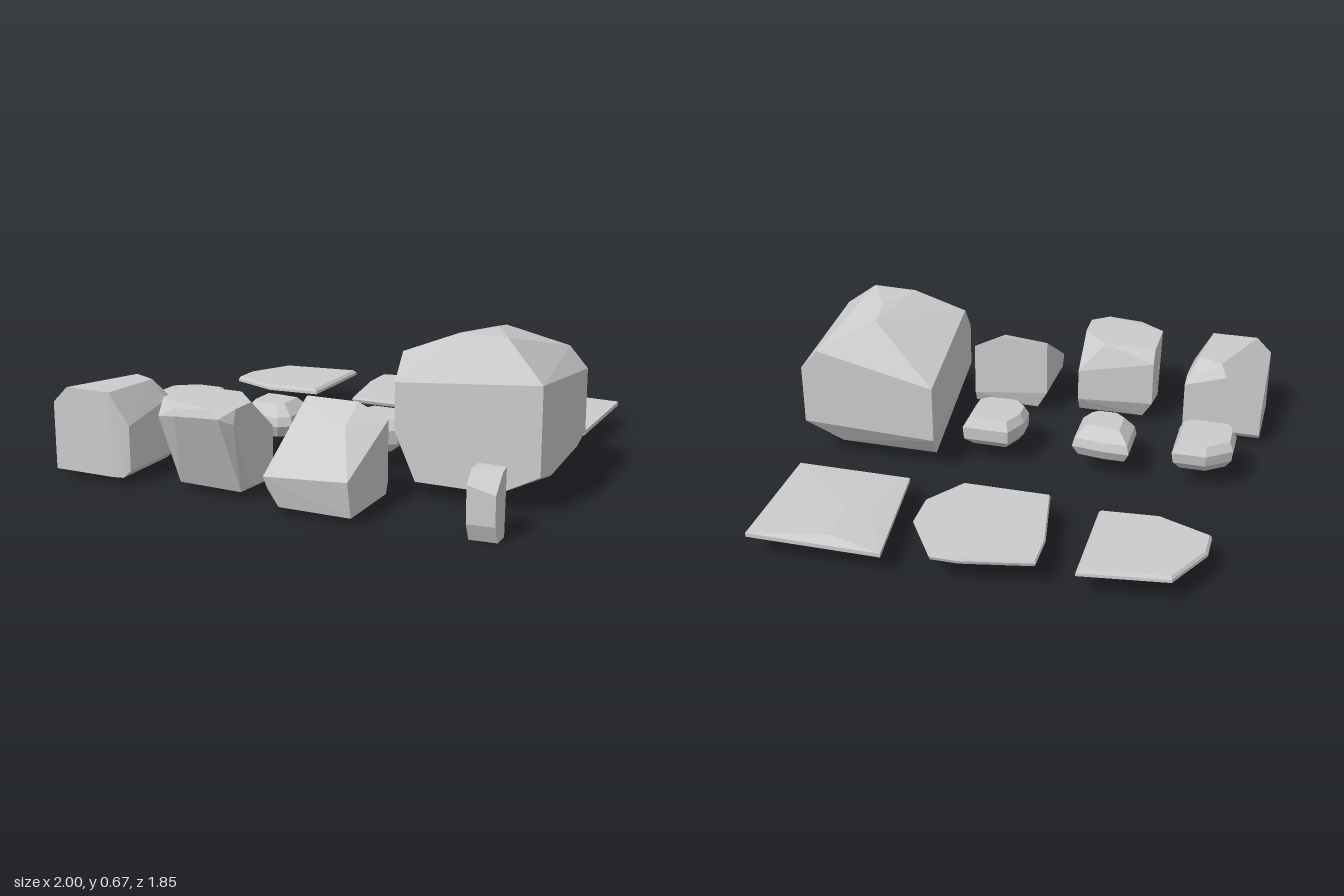
import * as THREE from 'three';
import { ConvexGeometry } from 'three/addons/geometries/ConvexGeometry.js';

const material = new THREE.MeshStandardMaterial({ color: 0xcccccc, flatShading: true });

// Faceted stone: the hull of its corner points
function stone(group, name, corners) {
  const points = corners.map(([x, y, z]) => new THREE.Vector3(x, y, z));
  const mesh = new THREE.Mesh(new ConvexGeometry(points), material);
  mesh.name = name;
  group.add(mesh);
}

// Stacks copies of a plan outline [x, z]; each layer is [height, scale about the middle]
function layers(outline, levels) {
  const cx = outline.reduce((s, p) => s + p[0], 0) / outline.length;
  const cz = outline.reduce((s, p) => s + p[1], 0) / outline.length;
  return levels.flatMap(([y, k]) =>
    outline.map(([x, z]) => [cx + (x - cx) * k, y, cz + (z - cz) * k]));
}

export function createModel() {
  const group = new THREE.Group();
  group.name = 'rockSet';

  // Large boulder
  stone(group, 'largeBoulder', [
    [0.62, 0.67, 0.37], [0.82, 0.67, 0.38], [0.71, 0.67, 0.18], [0.70, 0.65, 0.05],
    [0.39, 0.58, 0.40], [0.39, 0.47, 0.48], [1.00, 0.52, 0.48],
    [1.00, 0.46, -0.12], [0.92, 0.55, -0.12], [0.39, 0.43, -0.12],
    [0.39, 0.27, 0.48], [0.48, 0.07, 0.48], [0.83, 0.07, 0.48], [1.00, 0.16, 0.48],
    [1.00, 0.13, 0.35], [1.00, 0.155, -0.01], [1.00, 0.19, -0.12],
    [0.39, 0.17, -0.12], [0.40, 0.07, -0.05], [0.85, 0.07, -0.05],
  ]);

  // Three medium boulders along the front
  stone(group, 'mediumBoulderRight', [
    [-0.80, 0.39, 0.53], [-0.69, 0.39, 0.58], [-0.72, 0.39, 0.85], [-0.93, 0.39, 0.85],
    [-1.00, 0.32, 0.85], [-1.00, 0.17, 0.49], [-0.83, 0.34, 0.49], [-0.64, 0.28, 0.49],
    [-0.64, 0.30, 0.56], [-0.64, 0.25, 0.83],
    [-1.00, 0.03, 0.85], [-0.72, 0.03, 0.85], [-0.67, 0.03, 0.84], [-0.64, 0.06, 0.83],
    [-0.67, 0.03, 0.52], [-0.64, 0.06, 0.49], [-1.00, 0.03, 0.52], [-1.00, 0.06, 0.49],
  ]);
  stone(group, 'mediumBoulderMiddle', [
    [-0.48, 0.39, 0.60], [-0.33, 0.39, 0.60], [-0.24, 0.39, 0.60], [-0.12, 0.39, 0.73],
    [-0.12, 0.39, 0.85], [-0.20, 0.39, 0.91], [-0.36, 0.38, 0.91], [-0.48, 0.39, 0.81],
    [-0.46, 0.33, 0.88], [-0.36, 0.35, 0.92], [-0.16, 0.36, 0.92], [-0.12, 0.33, 0.87],
    [-0.48, 0.33, 0.56], [-0.12, 0.25, 0.56], [-0.48, 0.12, 0.56], [-0.12, 0.10, 0.56],
    [-0.48, 0.08, 0.74], [-0.43, 0.03, 0.78], [-0.14, 0.03, 0.79],
    [-0.12, 0.05, 0.76], [-0.12, 0.03, 0.60], [-0.43, 0.03, 0.60],
  ]);
  stone(group, 'mediumBoulderLeft', [
    [0.03, 0.39, 0.54], [0.26, 0.39, 0.54], [0.09, 0.35, 0.57], [0.28, 0.33, 0.70],
    [0.39, 0.33, 0.54], [0.39, 0.28, 0.65], [0.03, 0.28, 0.60],
    [0.03, 0.155, 0.91], [0.25, 0.17, 0.91], [0.39, 0.18, 0.91],
    [0.08, 0.03, 0.88], [0.39, 0.03, 0.88], [0.03, 0.10, 0.88],
    [0.03, 0.12, 0.54], [0.08, 0.03, 0.56], [0.39, 0.03, 0.56], [0.39, 0.08, 0.54],
  ]);

  // Three small stones in the middle row
  stone(group, 'smallStoneRight', layers(
    [[-0.92, 0.09], [-0.81, 0.01], [-0.66, 0.01], [-0.66, 0.25], [-0.70, 0.28], [-0.89, 0.28], [-0.92, 0.22]],
    [[0.10, 0.75], [0.14, 0.95], [0.19, 1], [0.23, 0.85]]));
  stone(group, 'smallStoneMiddle', layers(
    [[-0.47, 0.01], [-0.36, 0.01], [-0.21, 0.03], [-0.21, 0.23], [-0.26, 0.27], [-0.40, 0.27], [-0.47, 0.21]],
    [[0.10, 0.82], [0.15, 1], [0.19, 0.93], [0.24, 0.58]]));
  stone(group, 'smallStoneLeft', layers(
    [[0.08, 0], [0.29, 0], [0.29, 0.22], [0.24, 0.26], [0.09, 0.26], [0.03, 0.20], [0.03, 0.11]],
    [[0.09, 0.72], [0.13, 0.97], [0.19, 1], [0.23, 0.82]]));

  // Upright pebble at the front corner
  stone(group, 'pebble', [
    [0.84, 0.27, 0.73], [0.95, 0.27, 0.73], [0.84, 0.27, 0.80], [0.95, 0.26, 0.77],
    [0.84, 0.22, 0.85], [0.95, 0.19, 0.84], [0.84, 0.07, 0.85], [0.95, 0.07, 0.84],
    [0.84, 0, 0.82], [0.95, 0, 0.81], [0.84, 0, 0.74], [0.95, 0, 0.74],
  ]);

  // Three flat slabs at the back
  stone(group, 'slabRight', layers(
    [[-0.91, -0.62], [-0.80, -0.83], [-0.43, -0.88], [-0.43, -0.43], [-0.68, -0.41], [-0.91, -0.50]],
    [[0.115, 1], [0.128, 0.995], [0.14, 0.95]]));
  stone(group, 'slabMiddle', layers(
    [[-0.27, -0.86], [0.03, -0.92], [0.15, -0.92], [0.29, -0.70], [0.29, -0.54], [0.17, -0.37], [-0.21, -0.37], [-0.27, -0.70]],
    [[0.115, 0.98], [0.13, 1], [0.14, 0.98]]));
  stone(group, 'slabLeft', [
    ...layers([[0.35, -0.93], [0.93, -0.93], [0.93, -0.36], [0.42, -0.36]], [[0.097, 1], [0.115, 1]]),
    [0.48, 0.13, -0.68], [0.60, 0.135, -0.64], [0.58, 0.135, -0.88],
  ]);

  return group;
}
